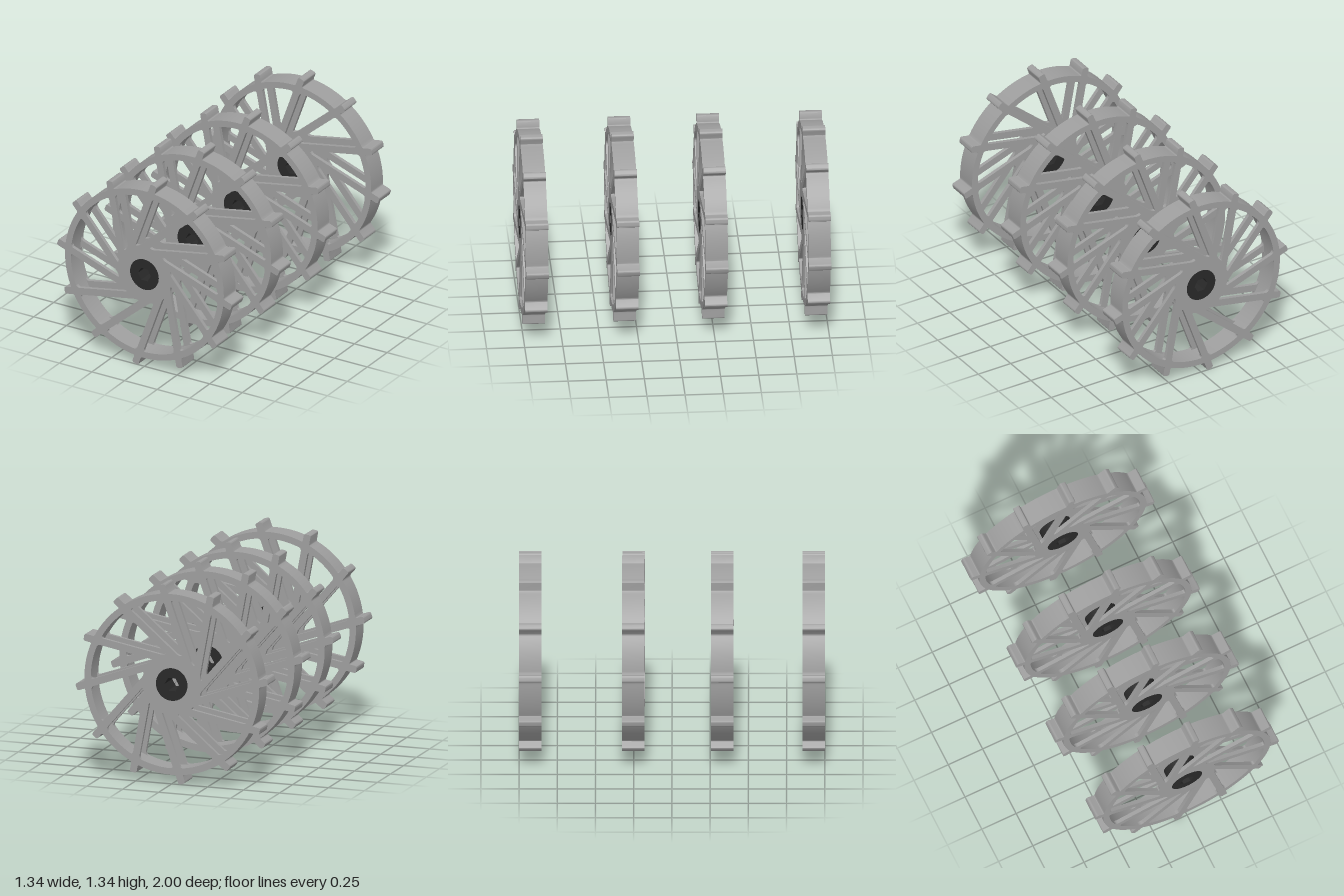
import * as THREE from 'three';
import { toCreasedNormals } from 'three/addons/utils/BufferGeometryUtils.js';

const SPOKES = 12, STEP = Math.PI * 2 / SPOKES, TILT = THREE.MathUtils.degToRad(70.4);
const RIM_OUT = 0.608, RIM_IN = 0.564, TIP = 0.65, DEPTH = 0.147, PLATE = 0.025;
const HUB_FILL = 0.203, HUB_R = 0.11, HEX_R = 0.05;
const V_RIGHT = 0.131, V_LEFT = 0.179; // spoke edges, offset sideways from the axle

// Point on spoke k: u along the spoke, v to its left
function at(k, u, v) {
  const a = TILT + k * STEP, c = Math.cos(a), s = Math.sin(a);
  return new THREE.Vector2(u * c - v * s, u * s + v * c);
}
// Distance along a spoke edge at which it reaches radius r
const reach = (r, v) => Math.sqrt(r * r - v * v);
const angle = (p) => Math.atan2(p.y, p.x);
const polar = (r, a) => new THREE.Vector2(r * Math.cos(a), r * Math.sin(a));
// Regular polygon, used for fine circles and the hexagon
const ring = (r, n) => Array.from({ length: n }, (_, i) => polar(r, i * Math.PI * 2 / n));

function arcTo(path, r, a0, a1) {
  while (a1 < a0) a1 += Math.PI * 2;
  path.absarc(0, 0, r, a0, a1, false);
}
const bend = (path, c, p) => path.quadraticCurveTo(c.x, c.y, p.x, p.y);

// Rim outline with one tilted, rounded tooth at the end of each spoke
function rimOutline() {
  const s = new THREE.Shape(), f = 0.01, t = 0.015;
  for (let k = 0; k < SPOKES; k++) {
    const right = at(k, reach(RIM_OUT, V_RIGHT), V_RIGHT);
    const left = at(k, reach(RIM_OUT, V_LEFT), V_LEFT);
    const start = polar(RIM_OUT, angle(right) - f / RIM_OUT);
    if (k === 0) s.moveTo(start.x, start.y);
    bend(s, right, at(k, reach(RIM_OUT, V_RIGHT) + f, V_RIGHT));
    const p = at(k, TIP - t, V_RIGHT);
    s.lineTo(p.x, p.y);
    bend(s, at(k, TIP, V_RIGHT), at(k, TIP, V_RIGHT + t));
    const q = at(k, TIP, V_LEFT - t);
    s.lineTo(q.x, q.y);
    bend(s, at(k, TIP, V_LEFT), at(k, TIP - t, V_LEFT));
    const e = at(k, reach(RIM_OUT, V_LEFT) + f, V_LEFT);
    s.lineTo(e.x, e.y);
    const a0 = angle(left) + f / RIM_OUT;
    bend(s, left, polar(RIM_OUT, a0));
    const next = at(k + 1, reach(RIM_OUT, V_RIGHT), V_RIGHT);
    arcTo(s, RIM_OUT, a0, angle(next) - f / RIM_OUT);
  }
  return s;
}

// Opening between spoke k-1 and spoke k, with rounded corners
function gap(k) {
  const h = new THREE.Path(), f = 0.022, t = 0.014;
  const uL = reach(RIM_IN, V_LEFT), uR = reach(RIM_IN, V_RIGHT);
  const iL = reach(HUB_FILL, V_LEFT), iR = reach(HUB_FILL, V_RIGHT);
  const c = at(k - 1, uL, V_LEFT), d = at(k, uR, V_RIGHT);
  const a0 = angle(c) + f / RIM_IN, a1 = angle(d) - f / RIM_IN;
  const p = at(k - 1, iL + t, V_LEFT), q = at(k - 1, uL - f, V_LEFT);
  h.moveTo(p.x, p.y);
  h.lineTo(q.x, q.y);
  bend(h, c, polar(RIM_IN, a0));
  arcTo(h, RIM_IN, a0, a1);
  bend(h, d, at(k, uR - f, V_RIGHT));
  const e = at(k, iR + t, V_RIGHT), m = at(k, iR, V_RIGHT), n = at(k - 1, iL, V_LEFT);
  h.lineTo(e.x, e.y);
  h.bezierCurveTo(m.x, m.y, n.x, n.y, p.x, p.y);
  return h;
}

function extrude(shape, depth) {
  const g = new THREE.ExtrudeGeometry(shape, { depth, bevelEnabled: false, curveSegments: 8 });
  g.translate(0, 0, -depth / 2);
  return toCreasedNormals(g, 0.45);
}

export function createModel() {
  const grey = new THREE.MeshStandardMaterial({ color: 0x9e9e9e });
  grey.name = 'wheelGrey';
  const black = new THREE.MeshStandardMaterial({ color: 0x292929 });
  black.name = 'hubBlack';

  // Toothed rim across the full width
  const rim = rimOutline();
  rim.holes.push(new THREE.Path(ring(RIM_IN, 96)));
  const rimGeometry = extrude(rim, DEPTH);

  // Thin spoke plate, its edge let into the rim
  const plate = new THREE.Shape(ring(RIM_IN + 0.002, 96));
  for (let k = 0; k < SPOKES; k++) plate.holes.push(gap(k));
  plate.holes.push(new THREE.Path(ring(HUB_R, 48)));
  const plateGeometry = extrude(plate, PLATE);

  // Hub tube with a hexagonal axle hole
  const hub = new THREE.Shape(ring(HUB_R, 48));
  hub.holes.push(new THREE.Path(ring(HEX_R, 6)));
  const hubGeometry = extrude(hub, DEPTH);

  // Four identical wheels along the axle line, each with a front and a back spoke plate
  const model = new THREE.Group();
  model.name = 'wheelSet';
  [0.9265, 0.33, -0.252, -0.9265].forEach((z, i) => {
    const wheel = new THREE.Group();
    wheel.name = 'wheel' + (i + 1);
    const add = (name, geometry, material, dz) => {
      const mesh = new THREE.Mesh(geometry, material);
      mesh.name = name;
      mesh.position.z = dz;
      wheel.add(mesh);
    };
    add('toothedRim', rimGeometry, grey, 0);
    add('frontSpokes', plateGeometry, grey, (DEPTH - PLATE) / 2);
    add('backSpokes', plateGeometry, grey, (PLATE - DEPTH) / 2);
    add('hub', hubGeometry, black, 0);
    wheel.position.set(0, 0.667, z);
    model.add(wheel);
  });
  return model;
}
